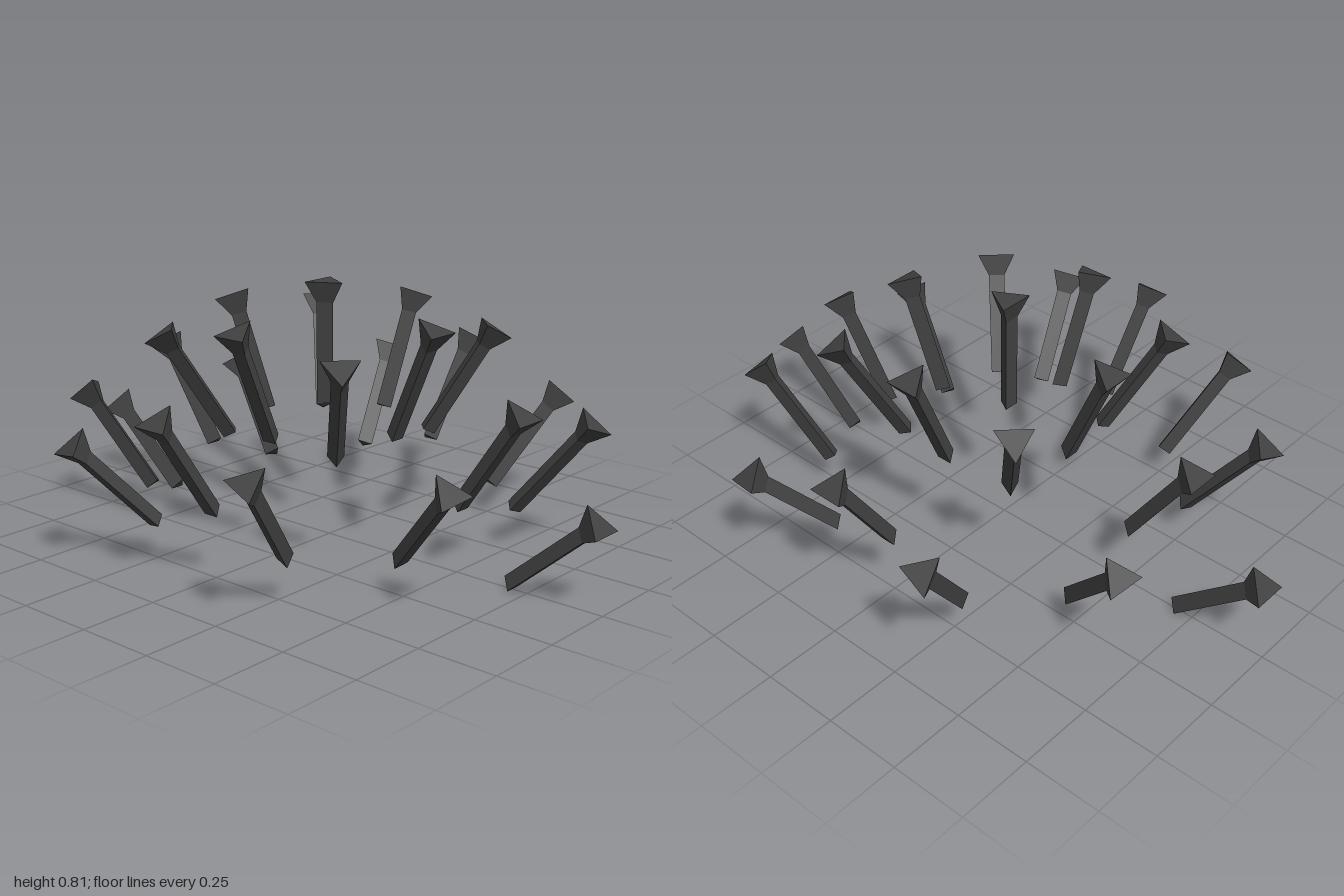
import * as THREE from 'three';

const LENGTH = 0.38;      // whole nail
const HEAD = 0.065;       // height of the flared head
const SHAFT_R = 0.029;
const HEAD_R = 0.067;

export function createModel() {
  const model = new THREE.Group();
  model.name = 'nailDome';
  const darkIron = new THREE.MeshStandardMaterial({ color: 0x404040 });
  darkIron.name = 'darkIron';

  // Three-sided solids, with flat normals and the origin at the top of the nail
  const prism = (top, bottom, height, topY) => {
    const g = new THREE.CylinderGeometry(top, bottom, height, 3).toNonIndexed();
    g.computeVertexNormals();
    return g.translate(0, topY - height / 2, 0);
  };
  const headGeometry = prism(HEAD_R, SHAFT_R, HEAD, 0);
  const shaftGeometry = prism(SHAFT_R, SHAFT_R, LENGTH - HEAD, -HEAD);

  // One nail: top centre, point near its foot, spin about its own axis in degrees
  function addNail(name, top, foot, spin, turn) {
    const head = new THREE.Mesh(headGeometry, darkIron);
    head.name = 'nailHead';
    const shaft = new THREE.Mesh(shaftGeometry, darkIron);
    shaft.name = 'nailShaft';
    const nail = new THREE.Group();
    nail.name = name;
    nail.add(head, shaft);

    const up = new THREE.Vector3(0, 1, 0);
    const t = new THREE.Vector3(...top).applyAxisAngle(up, turn);
    const f = new THREE.Vector3(...foot).applyAxisAngle(up, turn);
    const y = t.clone().sub(f).normalize();
    // A flat side faces outward, the opposite corner points inward
    const out = new THREE.Vector3(y.x, 0, y.z);
    if (out.lengthSq() < 1e-6) out.set(0, 0, -1);
    const z = out.negate().addScaledVector(y, -out.dot(y)).normalize();
    const x = new THREE.Vector3().crossVectors(y, z);
    nail.quaternion.setFromRotationMatrix(new THREE.Matrix4().makeBasis(x, y, z));
    nail.rotateY(-THREE.MathUtils.degToRad(spin));
    nail.position.copy(t);
    model.add(nail);
  }

  // Nails of one sector at the back, repeated around the dome
  const sector = [
    ['innerNail', [0, 0.72, -0.405], [0, 0.37, -0.257], 0],
    ['diagonalNail', [0.357, 0.663, -0.357], [0.212, 0.337, -0.212], 60],
    ['outerNail', [0, 0.523, -0.718], [0, 0.213, -0.508], 0],
    ['outerLeftNail', [0.354, 0.387, -0.735], [0.262, 0.107, -0.487], -14],
    ['outerRightNail', [-0.354, 0.426, -0.73], [-0.278, 0.122, -0.495], 32],
  ];

  addNail('centreNail', [0, 0.812, -0.015], [0, 0.43, -0.015], 0, 0);
  for (let k = 0; k < 4; k++) {
    for (const [name, top, foot, spin] of sector) {
      addNail(name, top, foot, spin, k * Math.PI / 2);
    }
  }
  // Lowest pair, only at the front and back
  for (let k = 0; k < 2; k++) {
    addNail('lowNail', [0, 0.262, -0.979], [0, 0.014, -0.69], 0, k * Math.PI);
  }
  return model;
}
